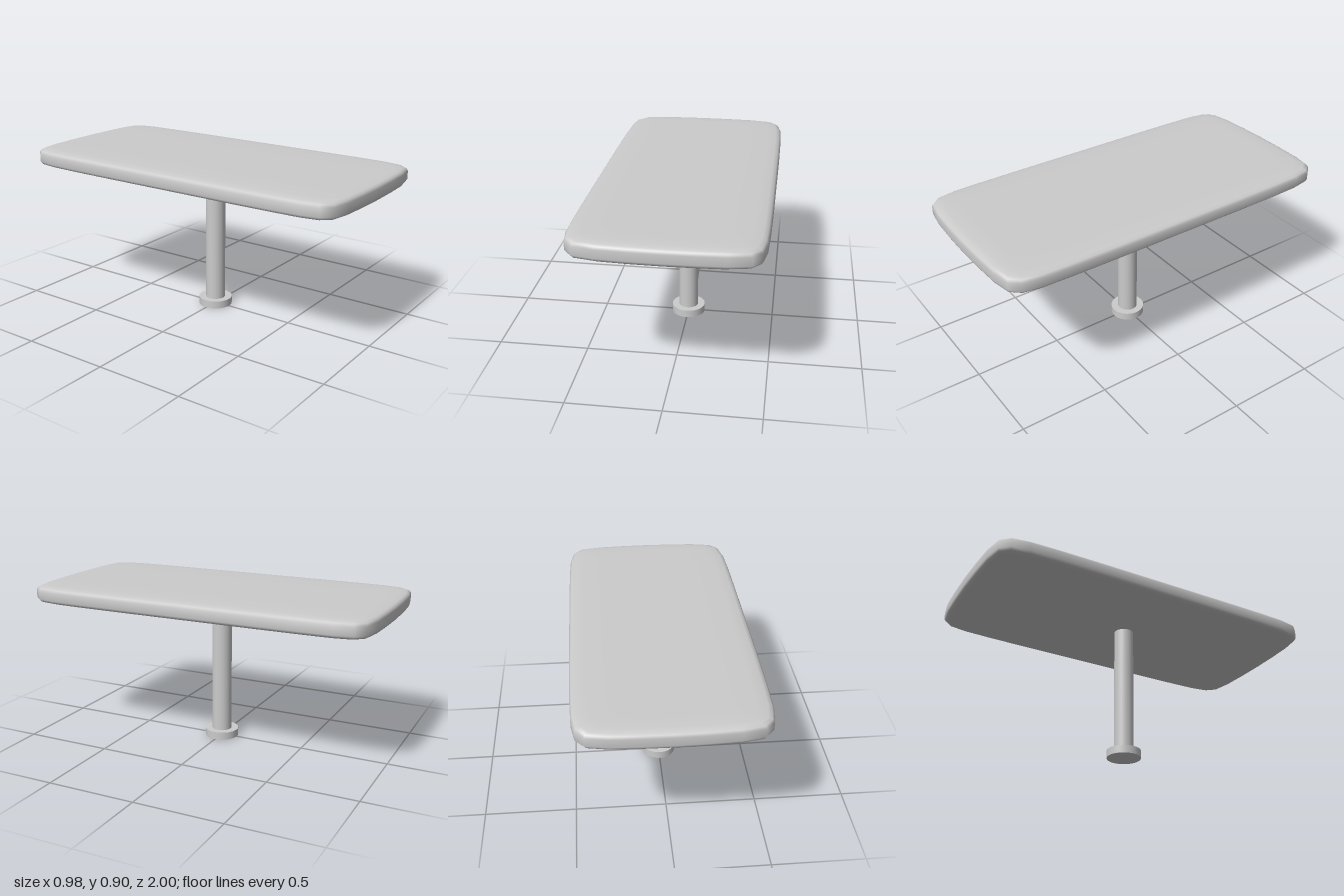
import * as THREE from 'three';
import { mergeVertices } from 'three/addons/utils/BufferGeometryUtils.js';

const material = new THREE.MeshStandardMaterial({ color: 0xcccccc });

// Quarter of the tabletop outline (x, z), from the front middle to the side middle
const QUARTER = [[0, 1], [0.16, 0.997], [0.31, 0.99], [0.42, 0.97], [0.465, 0.92],
  [0.482, 0.82], [0.487, 0.66], [0.489, 0.4], [0.489, 0]];

// Edge section: inset from the outline, height
const SECTION = [[0.489, 0.79], [0.2, 0.791], [0.08, 0.793], [0.03, 0.798], [0.01, 0.806], [0, 0.82],
  [0, 0.865], [0.01, 0.879], [0.03, 0.887], [0.08, 0.892], [0.2, 0.895], [0.489, 0.896]];

function fullOutline() {
  const half = [...QUARTER, ...QUARTER.slice(0, -1).reverse().map(([x, z]) => [x, -z])];
  return [...half, ...half.slice(0, -1).reverse().map(([x, z]) => [-x, z])];
}

// A lathe whose circular rings are moved onto the soft rectangular outline
function tabletopGeometry() {
  const outline = fullOutline();
  const profile = SECTION.map(([d, y]) => new THREE.Vector2(0.489 - d, y));
  const geometry = new THREE.LatheGeometry(profile, outline.length - 1);
  const position = geometry.attributes.position;
  outline.forEach(([x, z], i) => SECTION.forEach(([d, y], j) => {
    const sx = 1 - d / 0.489;
    const sz = d > 0.4 ? 0 : 1 - d * 0.6;
    position.setXYZ(i * SECTION.length + j, x * sx, y, z * sz);
  }));
  geometry.deleteAttribute('normal');
  geometry.deleteAttribute('uv');
  const merged = mergeVertices(geometry, 1e-5);
  merged.computeVertexNormals();
  return merged;
}

function addMesh(group, name, geometry, y = 0) {
  const mesh = new THREE.Mesh(geometry, material);
  mesh.name = name;
  mesh.position.y = y;
  group.add(mesh);
}

export function createModel() {
  const group = new THREE.Group();
  group.name = 'pedestalTable';
  addMesh(group, 'tabletop', tabletopGeometry());
  addMesh(group, 'post', new THREE.CylinderGeometry(0.056, 0.056, 0.77, 32), 0.415);
  addMesh(group, 'foot', new THREE.CylinderGeometry(0.096, 0.096, 0.044, 32), 0.022);
  return group;
}
